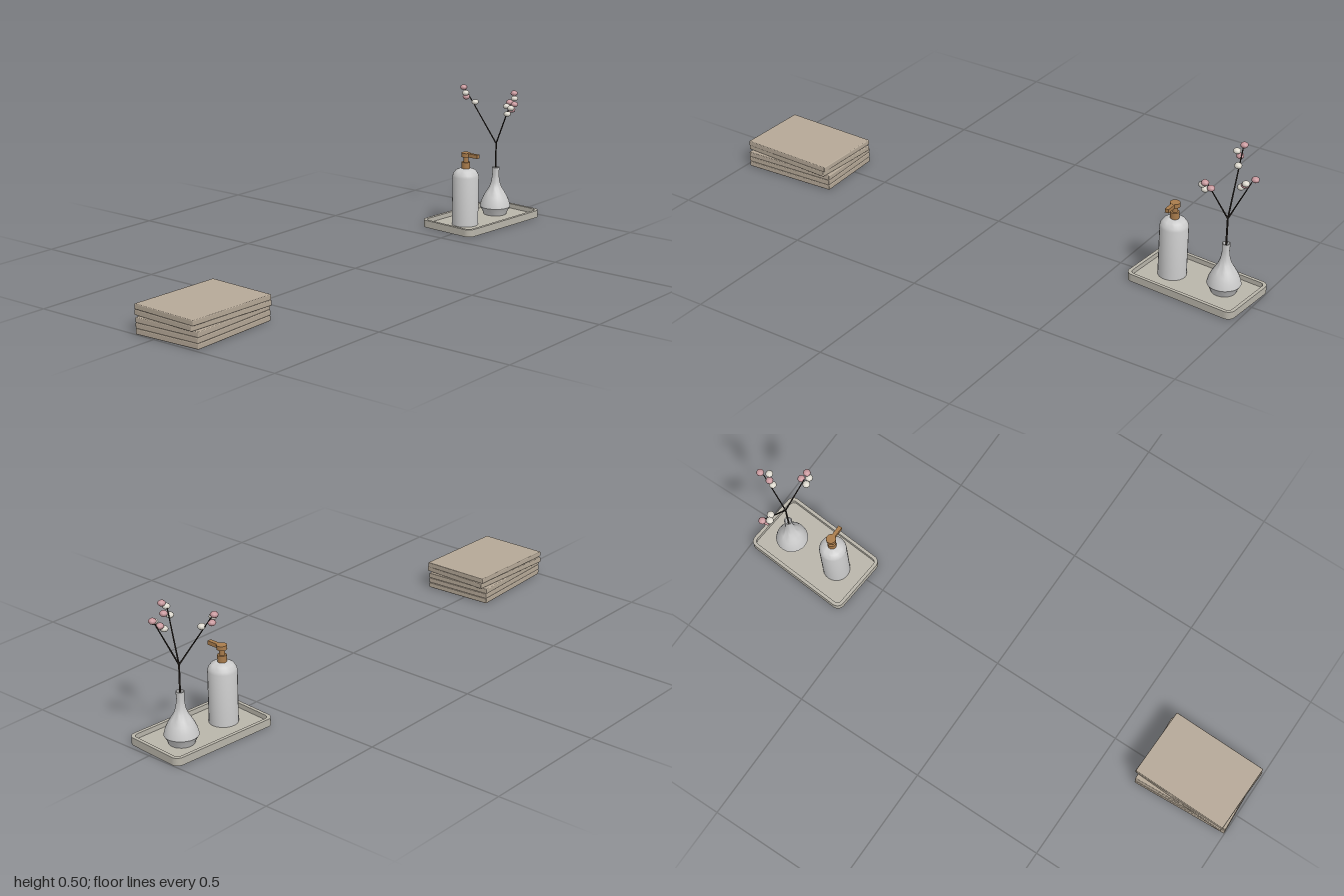
import * as THREE from 'three';
import { RoundedBoxGeometry } from 'three/addons/geometries/RoundedBoxGeometry.js';
import { toCreasedNormals } from 'three/addons/utils/BufferGeometryUtils.js';

const mat = (color, side = THREE.FrontSide) => {
  const m = new THREE.MeshStandardMaterial({ color });
  m.side = side;
  return m;
};
const grey = mat(0xcccccc, THREE.DoubleSide);
const cloth = mat(0xb5a897);
const stone = mat(0xb9b5aa);
const brass = mat(0xa97c4c);
const bark = mat(0x2a2420);
const pink = mat(0xc9999e);
const cream = mat(0xdcd8ce);

function add(parent, name, geometry, material, x = 0, y = 0, z = 0) {
  const mesh = new THREE.Mesh(geometry, material);
  mesh.name = name;
  mesh.position.set(x, y, z);
  parent.add(mesh);
  return mesh;
}

function group(parent, name, x = 0, y = 0, z = 0) {
  const g = new THREE.Group();
  g.name = name;
  g.position.set(x, y, z);
  parent.add(g);
  return g;
}

function roundedRect(w, d, r, Type = THREE.Shape) {
  const s = new Type();
  const x = w / 2, y = d / 2;
  s.absarc(x - r, y - r, r, 0, Math.PI / 2);
  s.absarc(-x + r, y - r, r, Math.PI / 2, Math.PI);
  s.absarc(-x + r, -y + r, r, Math.PI, Math.PI * 1.5);
  s.absarc(x - r, -y + r, r, Math.PI * 1.5, Math.PI * 2);
  s.closePath();
  return s;
}

// Extrude a floor-plan shape upwards from y = 0
const slab = (shape, h) =>
  new THREE.ExtrudeGeometry(shape, { depth: h, bevelEnabled: false, curveSegments: 5 }).rotateX(-Math.PI / 2);

const lathe = (points, segments) => toCreasedNormals(
  new THREE.LatheGeometry(points.map(([r, y]) => new THREE.Vector2(r, y)), segments), 0.6);

// Straight round twig between two points
function twig(parent, name, a, b, r0, r1) {
  const dir = b.clone().sub(a);
  const mesh = add(parent, name, new THREE.CylinderGeometry(r1, r0, dir.length(), 6), bark);
  mesh.position.copy(a).add(b).multiplyScalar(0.5);
  mesh.quaternion.setFromUnitVectors(new THREE.Vector3(0, 1, 0), dir.normalize());
}

function buildTowels(root) {
  const stack = group(root, 'towelStack', -0.814, 0, 0.04);
  const turns = [0.05, 0.045, 0.052, -0.045, -0.02];
  turns.forEach((turn, i) => {
    const towel = add(stack, 'towel', new RoundedBoxGeometry(0.357, 0.0188, 0.258, 2, 0.003),
      cloth, 0, 0.0095 + i * 0.0192, 0);
    towel.rotation.y = turn;
    if (i === 4) towel.rotation.x = 0.012;
  });
}

function buildTray(root) {
  const tray = group(root, 'tray', 0.7825, 0, -0.021);
  tray.rotation.y = -0.075;
  const rim = roundedRect(0.417, 0.237, 0.026);
  rim.holes.push(roundedRect(0.393, 0.213, 0.016, THREE.Path));
  add(tray, 'trayRim', slab(rim, 0.027), stone);
  add(tray, 'trayFloor', slab(roundedRect(0.395, 0.215, 0.017), 0.006), stone, 0, 0.004, 0);
}

function buildDispenser(root) {
  const bottle = group(root, 'soapDispenser', 0.685, 0, -0.026);
  add(bottle, 'bottle', lathe([[0, 0.0035], [0.049, 0.0035], [0.049, 0.194], [0.0465, 0.204],
    [0.037, 0.217], [0.02, 0.224], [0, 0.225]], 24), grey);
  add(bottle, 'pumpCollar', new THREE.CylinderGeometry(0.0155, 0.0155, 0.024, 16), brass, 0, 0.236, 0);
  add(bottle, 'pumpStem', new THREE.CylinderGeometry(0.0095, 0.0095, 0.022, 12), brass, 0, 0.258, 0);
  add(bottle, 'pumpHead', new THREE.CylinderGeometry(0.0175, 0.0175, 0.015, 16), brass, 0, 0.2755, 0);
  add(bottle, 'pumpSpout', new THREE.BoxGeometry(0.014, 0.014, 0.056), brass, 0, 0.2755, 0.028);
}

function buildVase(root) {
  const vase = group(root, 'vase', 0.88, 0, -0.027);
  add(vase, 'vaseBody', lathe([[0, 0.0035], [0.04, 0.0035], [0.05, 0.027], [0.058, 0.04],
    [0.053, 0.06], [0.044, 0.08], [0.034, 0.097], [0.023, 0.115], [0.0165, 0.134],
    [0.0125, 0.162], [0.0145, 0.191], [0.0115, 0.191], [0.01, 0.162], [0.01, 0.14]], 24), grey);
}

function buildBranches(root) {
  const spray = group(root, 'flowerSpray');
  const v = (x, y, z) => new THREE.Vector3(x, y, z);
  const fork = v(0.88, 0.283, -0.027);
  twig(spray, 'stem', v(0.88, 0.03, -0.027), fork, 0.0035, 0.003);

  // Each branch: its tip, then buds from the top down, pink and cream in turn
  const branches = [
    { tip: [0.842, 0.44, 0.055], buds: [[0.845, 0.453, 0.077], [0.832, 0.44, 0.07], [0.857, 0.427, 0.057], [0.834, 0.415, 0.053]] },
    { tip: [0.965, 0.45, -0.012], buds: [[0.976, 0.462, -0.015], [0.952, 0.448, 0.003], [0.942, 0.433, -0.012], [0.927, 0.42, -0.015]] },
    { tip: [0.855, 0.484, -0.158], buds: [[0.855, 0.486, -0.163], [0.84, 0.469, -0.143], [0.85, 0.452, -0.147], [0.862, 0.434, -0.114]] },
  ];
  for (const { tip, buds } of branches) {
    twig(spray, 'branch', fork, v(...tip), 0.0028, 0.0018);
    buds.forEach((p, i) => {
      const bud = add(spray, 'bud', new THREE.SphereGeometry(0.0138, 8, 6), i % 2 ? cream : pink, ...p);
      bud.scale.y = 0.75;
    });
  }
}

export function createModel() {
  const root = new THREE.Group();
  root.name = 'bathroomAccessories';
  buildTowels(root);
  buildTray(root);
  buildDispenser(root);
  buildVase(root);
  buildBranches(root);
  return root;
}
